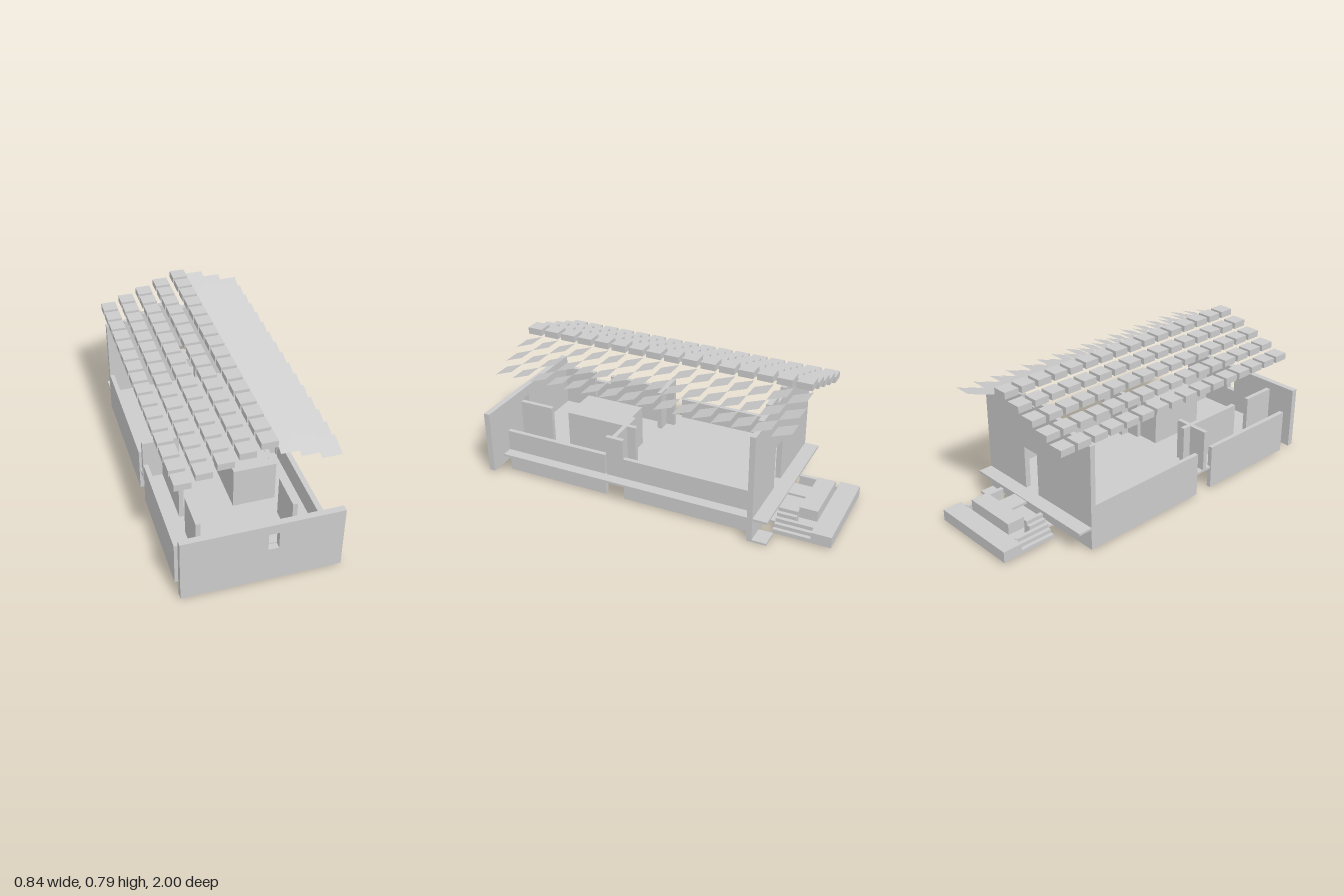
import * as THREE from 'three';

export function createModel() {
  const model = new THREE.Group();
  const mat = new THREE.MeshStandardMaterial({ color: 0xcccccc, flatShading: true });
  const sheetMat = new THREE.MeshStandardMaterial({ color: 0xcccccc, flatShading: true, side: THREE.DoubleSide });
  const U = 0.105; // grid module

  // Box given by its limits on each axis
  function block(name, x0, x1, y0, y1, z0, z1, parent = model) {
    const mesh = new THREE.Mesh(new THREE.BoxGeometry(x1 - x0, y1 - y0, z1 - z0), mat);
    mesh.position.set((x0 + x1) / 2, (y0 + y1) / 2, (z0 + z1) / 2);
    mesh.name = name;
    parent.add(mesh);
    return mesh;
  }

  // Upright panel in the xy plane, with an optional rectangular hole
  function panel(name, outline, hole, z0, depth) {
    const shape = new THREE.Shape(outline.map(([x, y]) => new THREE.Vector2(x, y)));
    if (hole) {
      const [x0, x1, y0, y1] = hole;
      shape.holes.push(new THREE.Path([[x0, y0], [x0, y1], [x1, y1], [x1, y0]].map(([x, y]) => new THREE.Vector2(x, y))));
    }
    const mesh = new THREE.Mesh(new THREE.ExtrudeGeometry(shape, { depth, bevelEnabled: false }), mat);
    mesh.position.z = z0;
    mesh.name = name;
    model.add(mesh);
  }

  // Front wall with its small window
  panel('frontWall', [[-0.42, 0.012], [0.42, 0.012], [0.42, 0.377], [-0.42, 0.377]], [0.025, 0.08, 0.22, 0.32], 0.965, 0.035);

  // Back wall with stepped gable and doorway
  const gable = [[-0.42, 0.012], [0.42, 0.012]];
  const tops = [0.605, 0.618, 0.656, 0.694, 0.656, 0.694, 0.656, 0.618];
  for (let i = 7; i >= 0; i--) {
    gable.push([-0.42 + (i + 1) * U, tops[i]], [-0.42 + i * U, tops[i]]);
  }
  panel('backWall', gable, [0, U, 0.143, 0.39], -0.61, 0.03);

  // Floor, forming a ledge on the left side, and the ledge behind
  block('floor', -0.415, 0.42, 0.13, 0.143, -0.58, 0.89);
  block('backLedge', -0.42, 0.42, 0.13, 0.143, -0.69, -0.61);

  // Low side walls, broken by the side doorways
  for (const [z0, z1] of [[-0.58, 0.16], [0.27, 0.89]]) {
    block('rightSideWall', -0.42, -0.395, 0.012, 0.263, z0, z1);
    block('leftFoundation', 0.335, 0.36, 0.012, 0.13, z0, z1);
    block('leftSideWall', 0.335, 0.36, 0.143, 0.263, z0, z1);
  }

  // Inner partitions either side of the central rooms
  for (const x of [-0.31, 0.185]) {
    block('frontPartition', x, x + 0.025, 0.143, 0.377, 0.69, 0.89);
    block('rearPartition', x, x + 0.025, 0.143, 0.377, 0.16, 0.58);
  }
  block('rightCrossPanel', -0.415, -0.215, 0.143, 0.377, 0.21, 0.235);
  block('leftCrossPanel', U, 0.36, 0.143, 0.377, 0.21, 0.235);
  block('doorPost', 0.335, 0.36, 0.143, 0.377, 0.16, 0.262);
  block('innerRoom', -0.02, 0.21, 0.143, 0.376, 0.235, 0.58);

  // Roof: 16 rows of solid tiles on one slope, tilted sheets on the other
  const roof = new THREE.Group();
  roof.name = 'roof';
  model.add(roof);
  const drop = 0.0375;
  for (let row = 0; row < 16; row++) {
    const z = 0.8375 - row * U;
    for (let c = 0; c < 5; c++) {
      const x = -0.3675 + c * U;
      const y = 0.606 + c * drop;
      block('roofTile', x - 0.042, x + 0.042, y, y + 0.037, z - 0.042, z + 0.042, roof);
    }
    for (let c = 0; c < 3; c++) {
      const geo = new THREE.PlaneGeometry(U, Math.hypot(U, drop));
      geo.rotateX(-Math.PI / 2 + Math.atan2(drop, U)); // rises towards the back
      const sheet = new THREE.Mesh(geo, sheetMat);
      sheet.position.set(0.1575 + c * U, 0.738 - c * drop, z);
      sheet.name = 'roofSheet';
      roof.add(sheet);
    }
  }

  // Back porch: plates, landing, low platform and side stairs
  const porch = new THREE.Group();
  porch.name = 'backPorch';
  model.add(porch);
  block('groundPlate', -U, 0.21, 0, 0.012, -0.89, -0.58, porch);
  block('cornerPlate', 0.315, 0.42, 0, 0.012, -0.69, -0.58, porch);
  block('lowPlatform', -0.21, 0.315, 0.012, 0.075, -1, -0.89, porch);
  block('landing', -U, 0.21, 0.075, 0.138, -0.89, -0.79, porch);
  block('bridge', 0, U, 0.125, 0.138, -0.79, -0.69, porch);
  for (let i = 0; i < 5; i++) {
    const top = 0.12 - i * 0.021;
    const zBack = top < 0.08 ? -0.89 : -0.79;
    const w = U / 5;
    block('rightStep', -U - (i + 1) * w, -U - i * w, 0.012, top, zBack, -0.685, porch);
    block('leftStep', 0.21 + i * w, 0.21 + (i + 1) * w, 0.012, top, zBack, -0.685, porch);
  }
  return model;
}
